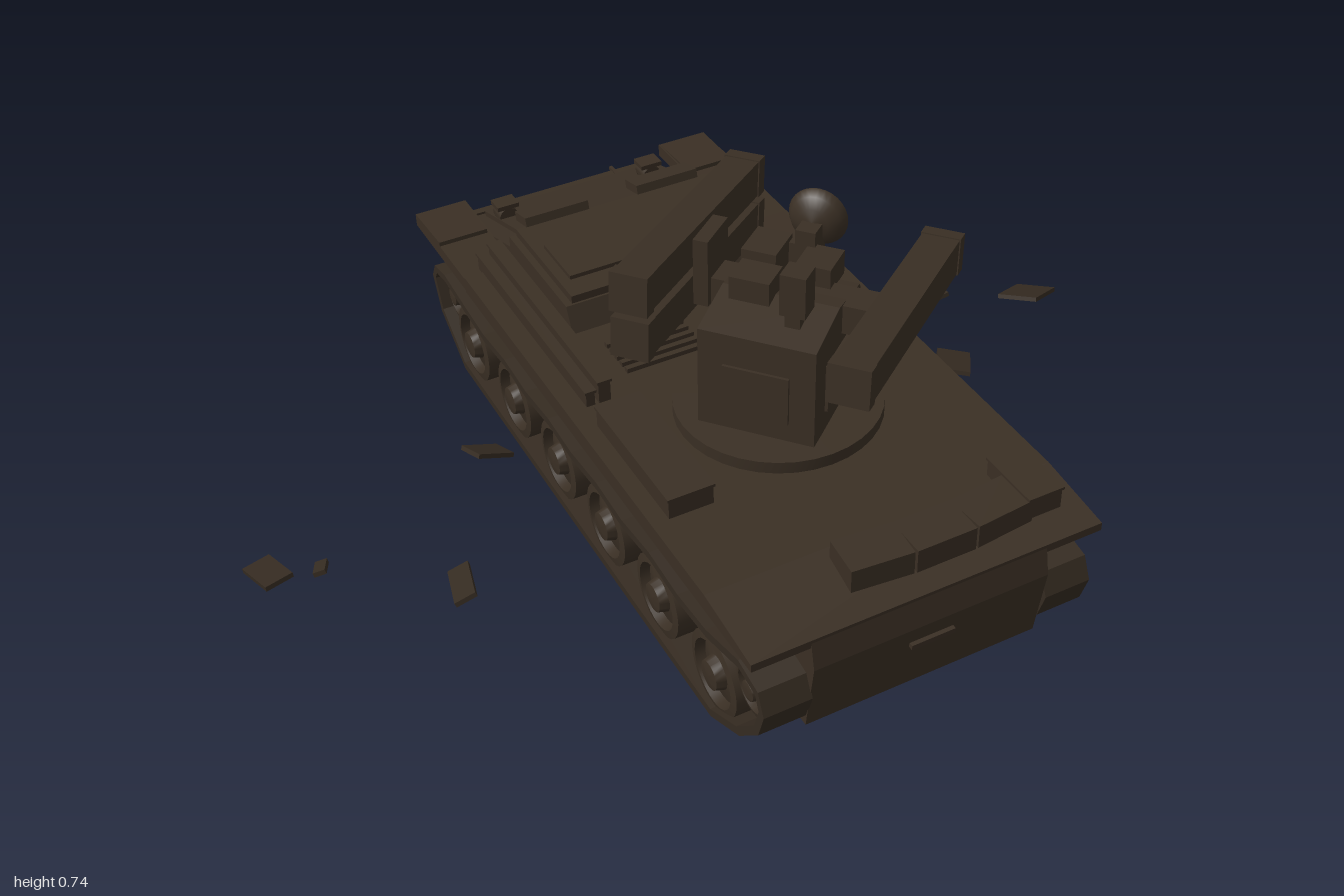
import * as THREE from 'three';
import { toCreasedNormals } from 'three/addons/utils/BufferGeometryUtils.js';

const hullMat = new THREE.MeshStandardMaterial({ color: 0x3a2f24 });
hullMat.name = 'scorched brown';
const trackMat = new THREE.MeshStandardMaterial({ color: 0x352b21 });
trackMat.name = 'scorched dark brown';

function add(parent, name, geo, x = 0, y = 0, z = 0, mat = hullMat) {
  const m = new THREE.Mesh(geo, mat);
  m.name = name;
  m.position.set(x, y, z);
  parent.add(m);
  return m;
}
const box = (w, h, d) => new THREE.BoxGeometry(w, h, d);
const cyl = (r, h, n = 24) => toCreasedNormals(new THREE.CylinderGeometry(r, r, h, n), 0.6);
const vecs = pts => pts.map(p => new THREE.Vector2(...p));

// Side profile in (z, y), extruded across x and centred on x = 0
function sideProfile(points, width, hole) {
  const shape = new THREE.Shape(vecs(points));
  if (hole) shape.holes.push(new THREE.Path(vecs(hole)));
  const g = new THREE.ExtrudeGeometry(shape, { depth: width, bevelEnabled: false });
  return g.translate(0, 0, -width / 2).rotateY(-Math.PI / 2);
}

function buildHull(tank) {
  // Armoured body with sloped plates at the back
  add(tank, 'hull', sideProfile([[0.765, 0.345], [0.776, 0.29], [0.75, 0.133], [-0.4, 0.137], [-0.765, 0.25],
    [-0.785, 0.31], [-0.5, 0.4], [-0.5, 0.425], [-0.21, 0.425], [-0.185, 0.37], [0.6, 0.37]], 0.48));
  // Overhanging deck and fenders
  add(tank, 'deck', sideProfile([[0.765, 0.335], [0.765, 0.352], [0.6, 0.372], [-0.48, 0.372], [-0.48, 0.335]], 0.714), 0.002);
  for (const s of [-1, 1]) {
    add(tank, 'rearFender', box(0.117, 0.028, 0.29), s * 0.2985 + 0.002, 0.354, -0.62);
    const flap = add(tank, 'fenderFlap', box(0.11, 0.01, 0.14), s * 0.3, 0.368, -0.69);
    flap.rotation.x = -0.06;
    // Lamps, hooks and rods on the sloped plate
    const lamp = add(tank, 'lamp', cyl(0.022, 0.04, 14), s * 0.175, 0.36, -0.685);
    lamp.rotation.x = Math.PI / 2;
    add(tank, 'lampGuard', box(0.05, 0.01, 0.04), s * 0.175, 0.385, -0.685);
    add(tank, 'towHook', new THREE.TorusGeometry(0.016, 0.006, 6, 12), s * 0.135, 0.235, -0.785);
    add(tank, 'rearRod', box(0.008, 0.008, 0.045), s * 0.135, 0.318, -0.782);
  }
  const plate = add(tank, 'slopePanel', box(0.395, 0.012, 0.2), 0, 0.355, -0.66);
  plate.rotation.x = -0.306;
  add(tank, 'slopeEdge', box(0.47, 0.018, 0.018), 0, 0.31, -0.782);
  add(tank, 'bowHandle', box(0.09, 0.01, 0.012), 0, 0.25, 0.773);

  // Crew compartment roof
  add(tank, 'roofPlate', box(0.45, 0.02, 0.28), 0, 0.432, -0.355);
  add(tank, 'squareHatch', box(0.125, 0.012, 0.13), -0.14, 0.445, -0.335);
  add(tank, 'roundHatch', cyl(0.066, 0.014), 0.115, 0.446, -0.335);
  for (const x of [-0.13, 0.13]) {
    const visor = add(tank, 'visorCover', box(0.145, 0.02, 0.06), x, 0.444, -0.522);
    visor.rotation.x = -0.25;
  }
  // Engine grille
  for (let i = 0; i < 5; i++) add(tank, 'grilleSlat', box(0.17, 0.012, 0.012), -0.115, 0.376, -0.115 + i * 0.023);

  // Stowage on the deck: x, z, width, height, depth
  const bins = [[-0.275, 0.25, 0.09, 0.05, 0.3], [0.275, -0.24, 0.08, 0.05, 0.14], [0.27, 0.01, 0.05, 0.03, 0.05],
    [0.275, 0.64, 0.07, 0.045, 0.13], [-0.305, -0.23, 0.018, 0.04, 0.54], [-0.275, -0.23, 0.025, 0.055, 0.54]];
  for (const [x, z, w, h, d] of bins) {
    add(tank, 'stowageBin', box(w, h, d), x, 0.365 + h / 2, z);
    add(tank, 'binLid', box(w + 0.006, 0.006, d + 0.006), x, 0.365 + h, z);
  }
  for (let i = -1; i <= 1; i++) {
    const bin = add(tank, 'frontBin', box(0.122, 0.055, 0.085), 0.06 + i * 0.123, 0.38, 0.675 - Math.abs(i) * 0.006);
    bin.rotation.y = i * 0.09;
  }
  add(tank, 'turretRing', cyl(0.203, 0.03, 36), 0.01, 0.382, 0.21);
}

// Outer track line in (z, y), counter-clockwise, with the sagging upper run
const loop = [[0.57, 0.03], [0.68, 0.085], [0.75, 0.155], [0.77, 0.215], [0.75, 0.26], [0.68, 0.275],
  [0.56, 0.242], [0.45, 0.234], [0.335, 0.243], [0.22, 0.231], [0.107, 0.239], [-0.01, 0.229], [-0.12, 0.237],
  [-0.235, 0.227], [-0.345, 0.236], [-0.46, 0.226], [-0.57, 0.236], [-0.68, 0.248], [-0.74, 0.238], [-0.762, 0.2],
  [-0.73, 0.12], [-0.61, 0.035]];
const inset = (pts, t) => pts.map((p, i) => {
  const a = pts[(i + pts.length - 1) % pts.length], b = pts[(i + 1) % pts.length];
  const dx = b[0] - a[0], dy = b[1] - a[1], l = Math.hypot(dx, dy);
  return [p[0] - dy / l * t, p[1] + dx / l * t];
});

function wheelGeometry(r) {
  const pts = [[0, -0.035], [r, -0.035], [r, 0.035], [r * 0.8, 0.038], [r * 0.76, 0.018], [r * 0.4, 0.026],
    [r * 0.34, 0.045], [r * 0.15, 0.048], [0, 0.048]];
  const g = new THREE.LatheGeometry(vecs(pts), 28);
  return toCreasedNormals(g.rotateZ(-Math.PI / 2), 0.5);
}

function buildRunningGear(tank) {
  const big = wheelGeometry(0.086), small = wheelGeometry(0.058);
  const belt = sideProfile(loop, 0.096, inset(loop, 0.018));
  for (const s of [-1, 1]) {
    const side = new THREE.Group();
    side.name = s > 0 ? 'leftRunningGear' : 'rightRunningGear';
    side.position.set(s * 0.29 + 0.004, s > 0 ? 0.01 : 0.002, 0);
    tank.add(side);
    add(side, 'track', belt, 0, 0, 0, trackMat);
    const wheel = (name, g, x, y, z) => { add(side, name, g, s * x, y, z).rotation.y = s > 0 ? 0 : Math.PI; };
    for (let i = 0; i < 6; i++) wheel('roadWheel', big, 0, 0.127, 0.562 - i * 0.226);
    wheel('frontSprocket', small, -0.012, 0.195, 0.685);
    wheel('rearIdler', small, -0.012, 0.18, -0.685);
    for (let i = 0; i < 6; i++) {
      const arm = add(side, 'suspensionArm', box(0.02, 0.03, 0.11), -s * 0.042, 0.155, 0.52 - i * 0.226);
      arm.rotation.x = 0.4;
    }
  }
}

// Launcher; its local x runs along the missile boxes
function buildLauncher(root) {
  const t = new THREE.Group();
  t.name = 'launcher';
  t.position.set(0.0, 0, 0.19);
  t.rotation.y = 0.695;
  root.add(t);
  const shape = new THREE.Shape(vecs([[-0.175, 0.385], [0.08, 0.385], [0.108, 0.46], [0.065, 0.6], [-0.05, 0.615],
    [-0.175, 0.59]]));
  const pedestal = new THREE.ExtrudeGeometry(shape, { depth: 0.23, bevelEnabled: false });
  add(t, 'pedestal', pedestal, 0, 0, -0.105);
  add(t, 'pedestalDoor', box(0.12, 0.1, 0.008), -0.06, 0.48, 0.127);
  add(t, 'pedestalBackPanel', box(0.008, 0.1, 0.13), -0.177, 0.475, 0.01);
  add(t, 'crossBeam', box(0.07, 0.06, 0.4), 0, 0.58, 0);

  // Missile boxes: x, y, z, length, width, each with end frames
  for (const [x, y, z, len, w] of [[0.026, 0.669, -0.2, 0.575, 0.07], [0.026, 0.574, -0.2, 0.575, 0.07], [0.026, 0.58, 0.215, 0.58, 0.076]]) {
    const b = new THREE.Group();
    b.name = 'missileBox';
    b.position.set(x, y, z);
    b.rotation.z = -0.075;
    t.add(b);
    add(b, 'boxBody', box(len, 0.074, w));
    for (const e of [-1, 1]) add(b, 'boxFrame', box(0.03, 0.079, w + 0.005), e * (len / 2 - 0.014));
  }
  add(t, 'boxBracket', box(0.1, 0.14, 0.03), 0.0, 0.625, -0.15);

  // Electronics blocks, sight and dish
  for (const [x, y, z, w, h, d] of [[0.06, 0.625, -0.06, 0.09, 0.06, 0.07], [0.05, 0.625, 0.05, 0.08, 0.05, 0.07],
    [-0.05, 0.63, -0.04, 0.07, 0.05, 0.08], [0.11, 0.62, 0, 0.05, 0.05, 0.06]]) add(t, 'equipmentBlock', box(w, h, d), x, y, z);
  add(t, 'sightPost', box(0.03, 0.06, 0.03), -0.11, 0.6, 0.06);
  add(t, 'sightBox', box(0.05, 0.085, 0.05), -0.11, 0.672, 0.063);
  const dish = new THREE.Group();
  dish.name = 'radarDish';
  dish.position.set(0.142, 0.675, 0.01);
  t.add(dish);
  const bowl = new THREE.LatheGeometry(vecs([[0, -0.03], [0.03, -0.024], [0.05, -0.01], [0.06, 0.008], [0.054, 0.008],
    [0.03, -0.008], [0, -0.014]]), 28).rotateZ(-Math.PI / 2);
  add(dish, 'dishBowl', bowl);
  add(dish, 'dishFeed', cyl(0.006, 0.04, 8), 0.005).rotation.z = Math.PI / 2;
  add(dish, 'dishMount', box(0.05, 0.05, 0.04), -0.04, -0.02, 0);
}

function buildDebris(root) {
  // x, z, width, depth, yaw, tilt
  const scraps = [[-0.965, -0.13, 0.06, 0.1, 0.2, 0.08], [-0.87, -0.095, 0.025, 0.045, -0.4, 0.3], [-0.645, 0.08, 0.045, 0.125, -0.25, 0.4],
    [-0.44, -0.29, 0.09, 0.065, 0.25, -0.4], [-0.1, -0.08, 0.1, 0.09, 0.4, 0.4], [-0.22, -0.3, 0.09, 0.08, 0.7, 0.3],
    [0.61, -0.1, 0.075, 0.11, -0.6, -0.1], [0.715, -0.37, 0.07, 0.09, -0.08, 0.2], [0.925, -0.26, 0.125, 0.095, 0.6, -0.3],
    [0.345, -0.63, 0.075, 0.075, 0, -0.4]];
  for (const [x, z, w, d, yaw, tilt] of scraps) {
    const m = add(root, 'scrapPlate', box(w, 0.01, d), x, 0.058, z, trackMat);
    m.rotation.set(-0.18, yaw, tilt, 'YXZ');
  }
}

export function createModel() {
  const root = new THREE.Group();
  root.name = 'wreckedMissileCarrier';
  const tank = new THREE.Group();
  tank.name = 'vehicle';
  tank.position.set(-0.028, 0.002, 0);
  tank.rotation.set(0.04, 0, 0.035);
  root.add(tank);
  buildHull(tank);
  buildRunningGear(tank);
  buildLauncher(root);
  buildDebris(root);
  return root;
}
